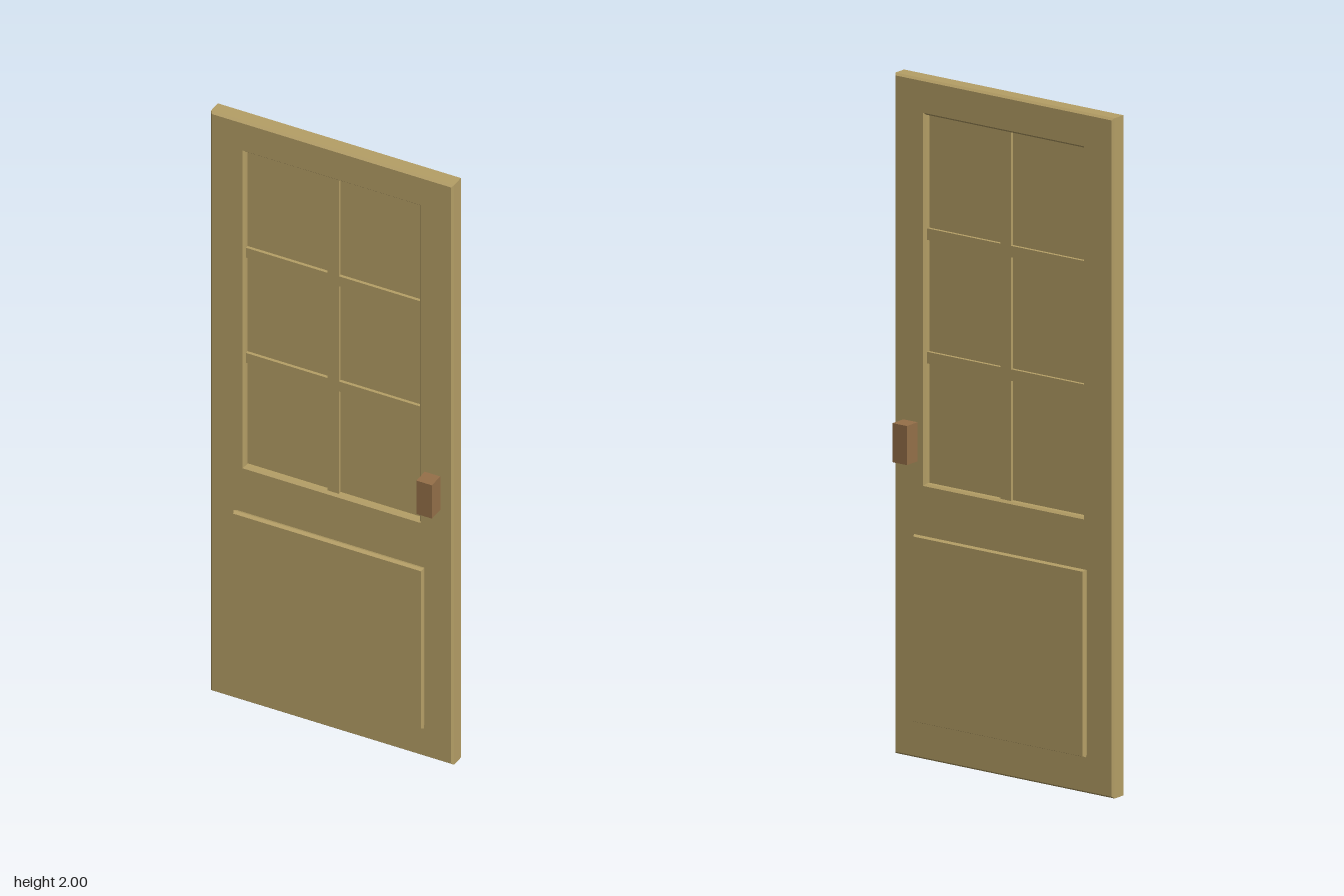
import * as THREE from 'three';

export function createModel() {
  const door = new THREE.Group();
  door.name = 'door';
  const wood = new THREE.MeshStandardMaterial({ color: 0xb59f66 });
  wood.name = 'wood';
  const brown = new THREE.MeshStandardMaterial({ color: 0x957049 });
  brown.name = 'handle brown';

  const add = (name, geometry, material, z = 0) => {
    const mesh = new THREE.Mesh(geometry, material);
    mesh.name = name;
    mesh.position.z = z;
    door.add(mesh);
    return mesh;
  };
  const trace = (path, x0, x1, y0, y1) => {
    path.moveTo(x0, y0);
    path.lineTo(x1, y0);
    path.lineTo(x1, y1);
    path.lineTo(x0, y1);
    path.closePath();
    return path;
  };
  // Slab with chamfered edges, centred on z = 0
  const slab = (shape, thickness, chamferDepth, chamferWidth) => {
    const depth = thickness - 2 * chamferDepth;
    return new THREE.ExtrudeGeometry(shape, {
      depth, bevelEnabled: true, bevelSegments: 1, bevelThickness: chamferDepth,
      bevelSize: chamferWidth, bevelOffset: -chamferWidth,
    }).translate(0, 0, -depth / 2);
  };
  const box = (x0, x1, y0, y1, thickness) =>
    new THREE.BoxGeometry(x1 - x0, y1 - y0, thickness)
      .translate((x0 + x1) / 2, (y0 + y1) / 2, 0);

  // Main leaf with the window opening
  const leaf = trace(new THREE.Shape(), -0.39, 0.39, 0, 2);
  leaf.holes.push(trace(new THREE.Path(), -0.28, 0.28, 0.81, 1.895));
  add('leaf', slab(leaf, 0.054, 0.007, 0.006), wood);

  // Recessed window filling and its glazing bars
  add('windowPane', box(-0.285, 0.285, 0.805, 1.9, 0.012), wood);
  add('verticalBar', box(-0.018, 0.018, 0.805, 1.9, 0.034), wood);
  for (const y of [1.18, 1.543]) {
    add('horizontalBar', box(-0.285, 0.285, y - 0.017, y + 0.017, 0.032), wood);
  }

  // Raised lower panel and handle on both faces
  const panel = trace(new THREE.Shape(), -0.305, 0.305, 0.112, 0.663);
  for (const side of [1, -1]) {
    const label = side > 0 ? 'front' : 'back';
    add(label + 'Panel', slab(panel, 0.021, 0.01, 0.004), wood, side * 0.0435);
    add(label + 'Handle', box(0.302, 0.352, 0.875, 0.99, 0.05), brown, side * 0.0575);
  }
  return door;
}
